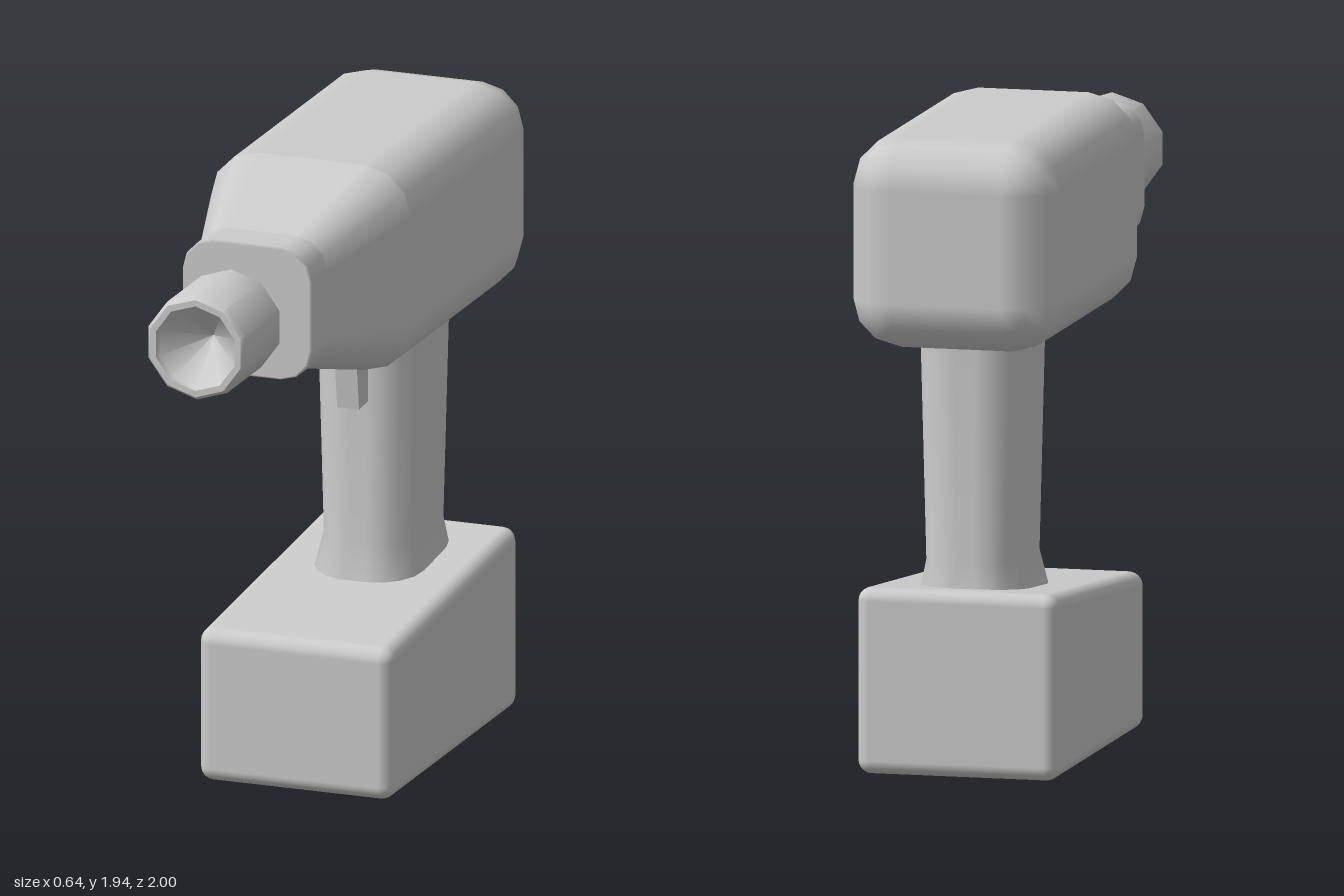
import * as THREE from 'three';
import { RoundedBoxGeometry } from 'three/addons/geometries/RoundedBoxGeometry.js';
import { toCreasedNormals } from 'three/addons/utils/BufferGeometryUtils.js';

const AXIS_Y = 1.617; // height of the motor and chuck axis

// Rounded-rectangle loft along z. Section: [z, centreY, halfX, halfY, radius, tilt in degrees].
// Tilt leans the normals towards +z; repeating a section with a new tilt makes a hard edge.
function loft(sections, steps) {
  const position = [], normal = [], index = [];
  const corners = [[1, 1], [-1, 1], [-1, -1], [1, -1]];
  const n = 4 * (steps + 1);
  for (const [z, cy, hx, hy, r, tilt] of sections) {
    const t = THREE.MathUtils.degToRad(tilt);
    corners.forEach(([sx, sy], k) => {
      for (let i = 0; i <= steps; i++) {
        const a = (k + i / steps) * Math.PI / 2;
        const c = Math.cos(a), s = Math.sin(a);
        position.push(sx * (hx - r) + r * c, cy + sy * (hy - r) + r * s, z);
        normal.push(c * Math.cos(t), s * Math.cos(t), Math.sin(t));
      }
    });
  }
  const point = (i) => new THREE.Vector3().fromArray(position, i * 3);
  const face = (a, b, c) => {
    if (new THREE.Triangle(point(a), point(b), point(c)).getArea() > 1e-8) index.push(a, b, c);
  };
  for (let j = 0; j < sections.length - 1; j++) {
    for (let i = 0; i < n; i++) {
      const a = j * n + i, b = j * n + (i + 1) % n;
      face(a, b, b + n);
      face(a, b + n, a + n);
    }
  }
  const geometry = new THREE.BufferGeometry();
  geometry.setAttribute('position', new THREE.Float32BufferAttribute(position, 3));
  geometry.setAttribute('normal', new THREE.Float32BufferAttribute(normal, 3));
  geometry.setIndex(index);
  return geometry;
}

export function createModel() {
  const model = new THREE.Group();
  model.name = 'cordlessDrill';
  const material = new THREE.MeshStandardMaterial({ color: 0xcccccc });
  const add = (name, geometry) => {
    const mesh = new THREE.Mesh(geometry, material);
    mesh.name = name;
    model.add(mesh);
    return mesh;
  };

  // Motor housing: domed back, straight middle, tapered nose and collar
  const square = (z, h, r, tilt) => [z, AXIS_Y, h, h, r, tilt];
  const housing = [square(-1, 0, 0, -90)];
  for (let i = 0; i <= 3; i++) {
    const a = i * Math.PI / 6;
    const r = 0.15 * Math.sin(a);
    housing.push(square(-0.85 - 0.15 * Math.cos(a), 0.17 + r, r, i * 30 - 90));
  }
  housing.push(
    square(0.05, 0.32, 0.15, 0), square(0.05, 0.32, 0.15, 15),
    square(0.45, 0.207, 0.1, 15), square(0.45, 0.207, 0.1, 0),
    square(0.572, 0.207, 0.1, 0), square(0.58, 0.2, 0.093, 90),
    square(0.58, 0, 0, 90),
  );
  add('motorHousing', loft(housing, 3));

  // Chuck with its shaft and conical socket, turned around z
  const chuckProfile = [
    [0.093, 0.56], [0.093, 0.685], [0.163, 0.705], [0.163, 0.985],
    [0.152, 1], [0.132, 1], [0.124, 0.985], [0, 0.85],
  ].map(([r, z]) => new THREE.Vector2(r, z));
  const chuckGeometry = new THREE.LatheGeometry(chuckProfile, 10).rotateX(Math.PI / 2);
  add('chuck', toCreasedNormals(chuckGeometry, 0.66)).position.y = AXIS_Y;

  // Handle: lofted upright, flaring out at the foot
  const handle = loft([
    [0.46, 0.535, 0.18, 0.24, 0.14, 10],
    [0.53, 0.538, 0.17, 0.23, 0.135, 8],
    [0.63, 0.547, 0.15, 0.208, 0.125, 2],
    [1.4, 0.547, 0.168, 0.226, 0.135, -1],
  ], 4).rotateX(-Math.PI / 2);
  add('handle', handle);

  // Trigger
  const triggerShape = new THREE.Shape([
    [-0.4, 1.08], [-0.255, 1.07], [-0.215, 1.38], [-0.4, 1.38],
  ].map(([z, y]) => new THREE.Vector2(z, y)));
  const trigger = new THREE.ExtrudeGeometry(triggerShape, { depth: 0.07, bevelEnabled: false });
  trigger.translate(0, 0, -0.035).rotateY(-Math.PI / 2);
  add('trigger', trigger);

  // Battery: rounded box whose top rises towards the back
  const slope = -0.09;
  const battery = new RoundedBoxGeometry(0.62, 0.52, 1.06, 3, 0.042);
  const { position, normal } = battery.attributes;
  const v = new THREE.Vector3();
  for (let i = 0; i < position.count; i++) {
    if (position.getY(i) < 0) continue;
    position.setY(i, position.getY(i) + slope * position.getZ(i));
    v.fromBufferAttribute(normal, i);
    v.z -= slope * v.y;
    v.normalize();
    normal.setXYZ(i, v.x, v.y, v.z);
  }
  add('battery', battery).position.set(0, 0.26, -0.338);

  return model;
}
